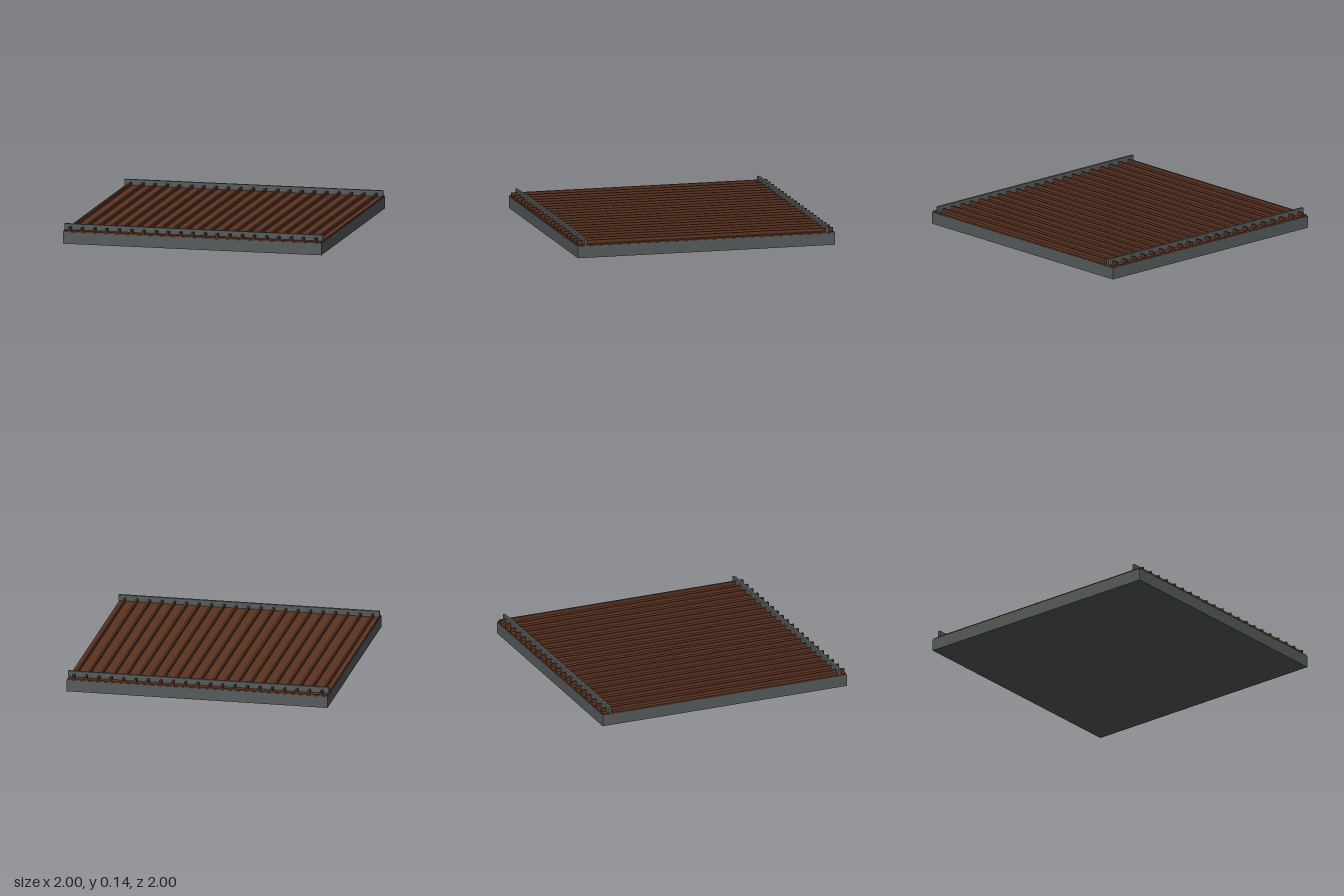
import * as THREE from 'three';

export function createModel() {
  const model = new THREE.Group();
  const material = (name, color) => {
    const m = new THREE.MeshStandardMaterial({ color });
    m.name = name;
    return m;
  };
  const grey = material('slate grey', 0x565b5c);
  const brown = material('rust brown', 0x5c3422);

  // Box placed by its bottom height
  function box(name, mat, w, h, d, x, y, z) {
    const mesh = new THREE.Mesh(new THREE.BoxGeometry(w, h, d), mat);
    mesh.position.set(x, y + h / 2, z);
    mesh.name = name;
    model.add(mesh);
  }

  // Slab and the metal sheet lying on it
  box('baseSlab', grey, 2, 0.09, 2, 0, 0, 0);
  box('roofSheet', brown, 1.99, 0.01, 1.99, 0, 0.09, 0);

  // Standing seams running front to back
  const seams = 21;
  for (let i = 0; i < seams; i++) {
    const x = (i - (seams - 1) / 2) * 0.095;
    box('seam', brown, 0.016, 0.026, 1.99, x, 0.099, 0);
  }

  // Rails across the front and back edges
  for (const side of [1, -1]) {
    box(side > 0 ? 'frontRail' : 'backRail', grey, 2, 0.045, 0.02, 0, 0.1, side * 0.94);
  }
  return model;
}
